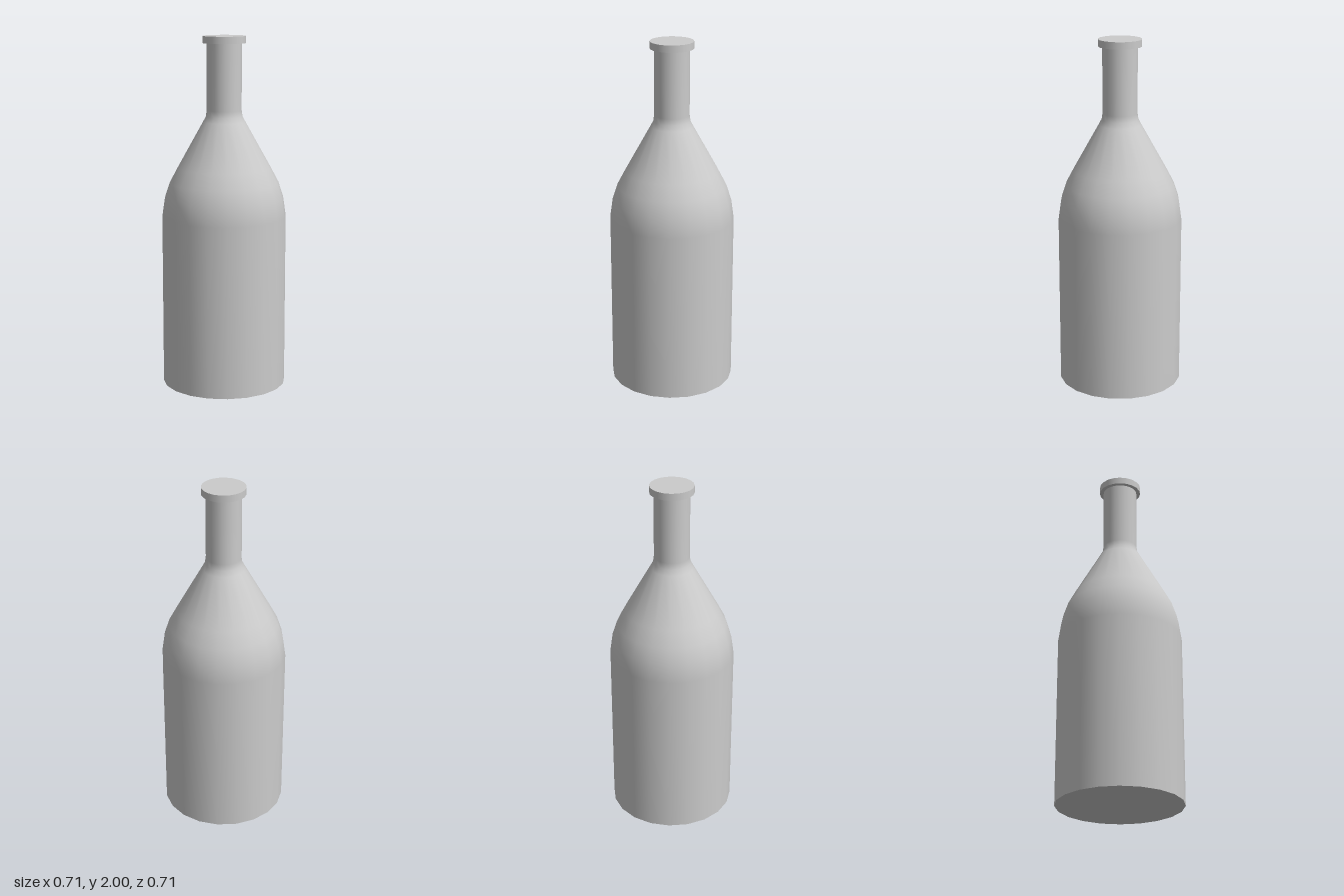
import * as THREE from 'three';

const SIDES = 20;

export function createModel() {
  const group = new THREE.Group();
  group.name = 'bottle';
  const material = new THREE.MeshStandardMaterial({ color: 0xcccccc });
  const add = (name, geometry, y = 0) => {
    const mesh = new THREE.Mesh(geometry, material);
    mesh.name = name;
    mesh.position.y = y;
    group.add(mesh);
  };

  // Straight body, rounded shoulder, tapered cone and narrow neck
  const profile = [
    [0.354, 0], [0.354, 0.98], [0.338, 1.09], [0.31, 1.175], [0.265, 1.26],
    [0.12, 1.52], [0.104, 1.55], [0.099, 1.585], [0.099, 1.96],
  ].map(([r, y]) => new THREE.Vector2(r, y));
  add('body', new THREE.LatheGeometry(profile, SIDES));

  // Flat base, its rim corners matching those of the body
  add('base', new THREE.CircleGeometry(0.354, SIDES).rotateX(Math.PI / 2));

  // Closed lip at the mouth
  add('lip', new THREE.CylinderGeometry(0.122, 0.122, 0.04, SIDES), 1.98);

  return group;
}
